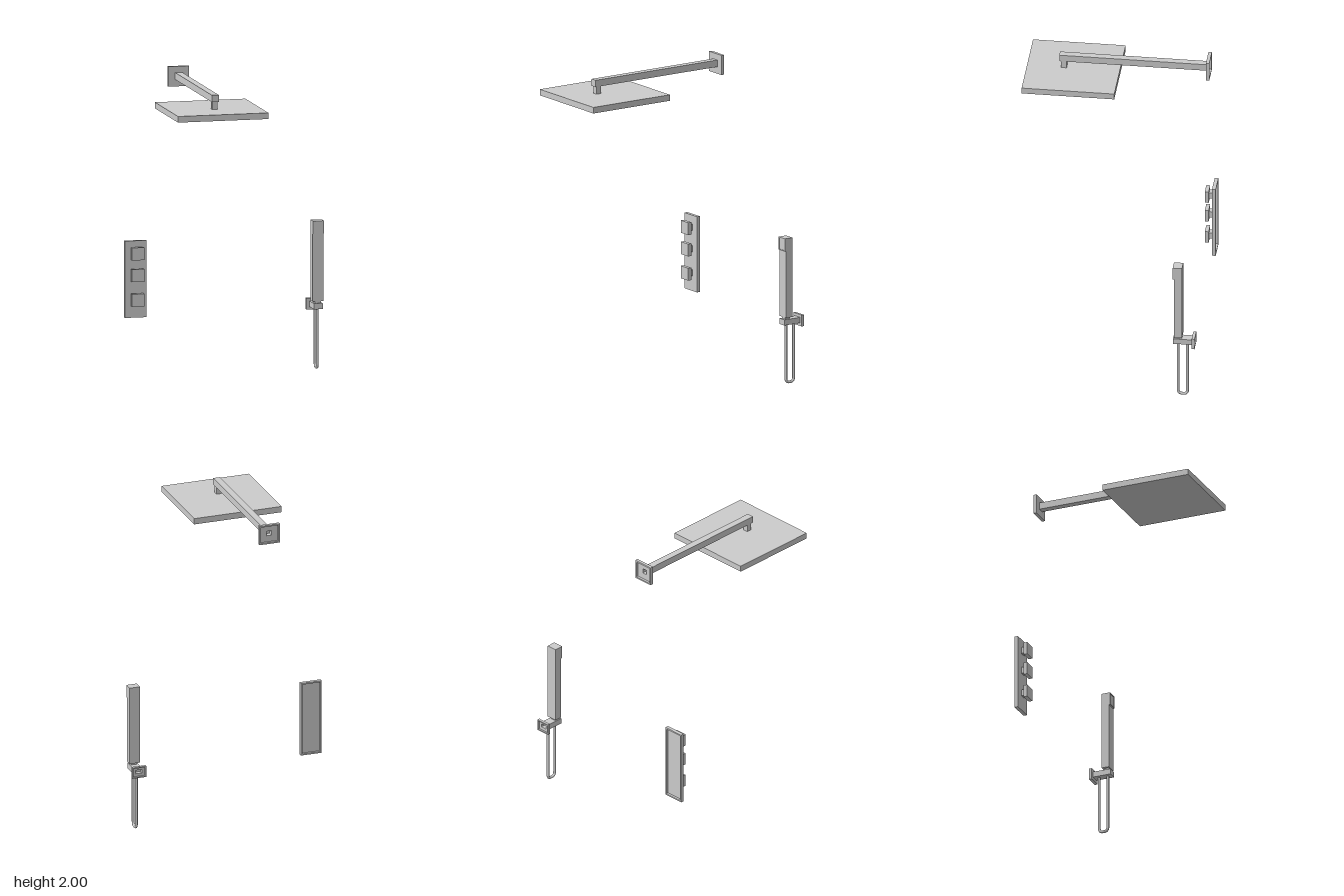
import * as THREE from 'three';

const mat = new THREE.MeshStandardMaterial({ color: 0xcccccc, flatShading: true });
const smooth = new THREE.MeshStandardMaterial({ color: 0xcccccc });

export function createModel() {
  const root = new THREE.Group();

  function add(parent, name, geometry, material = mat) {
    const mesh = new THREE.Mesh(geometry, material);
    mesh.name = name;
    parent.add(mesh);
    return mesh;
  }

  function group(name) {
    const g = new THREE.Group();
    g.name = name;
    root.add(g);
    return g;
  }

  // Box given by its limits on each axis
  function box(parent, name, [x0, x1], [y0, y1], [z0, z1]) {
    const mesh = add(parent, name, new THREE.BoxGeometry(x1 - x0, y1 - y0, z1 - z0));
    mesh.position.set((x0 + x1) / 2, (y0 + y1) / 2, (z0 + z1) / 2);
    return mesh;
  }

  // Rectangular frame: a box with a rectangular opening along z
  function frame(parent, name, [x0, x1], [y0, y1], [z0, z1], [hx0, hx1], [hy0, hy1]) {
    const corners = (a, b, c, d) => [[a, c], [b, c], [b, d], [a, d]].map(p => new THREE.Vector2(...p));
    const shape = new THREE.Shape(corners(x0, x1, y0, y1));
    shape.holes.push(new THREE.Path(corners(hx0, hx1, hy0, hy1).reverse()));
    const geo = new THREE.ExtrudeGeometry(shape, { depth: z1 - z0, bevelEnabled: false });
    return add(parent, name, geo).position.z = z0;
  }

  const inset = ([a, b], t) => [a + t, b - t];

  // Overhead shower: square head on a long wall arm
  const shower = group('overheadShower');
  box(shower, 'showerHead', [-0.6, 0], [1.825, 1.865], [0, 0.6]);
  box(shower, 'headConnector', [-0.317, -0.281], [1.865, 1.916], [0.343, 0.378]);
  const armX = [-0.322, -0.276], armY = [1.915, 1.96];
  box(shower, 'showerArm', armX, armY, [-0.535, 0.39]);
  frame(shower, 'armSocket', armX, armY, [-0.565, -0.535], inset(armX, 0.007), inset(armY, 0.007));
  const plateX = [-0.368, -0.23], plateY = [1.87, 2];
  frame(shower, 'armWallPlate', plateX, plateY, [-0.572, -0.565], inset(armX, 0.007), inset(armY, 0.007));
  frame(shower, 'armWallPlateRim', plateX, plateY, [-0.587, -0.572], inset(plateX, 0.01), inset(plateY, 0.01));

  // Control panel: hollow-backed plate with three square knobs
  const panel = group('controlPanel');
  const panelX = [-0.653, -0.51], panelY = [0.375, 0.875];
  box(panel, 'panelFace', panelX, panelY, [-0.579, -0.57]);
  frame(panel, 'panelRim', panelX, panelY, [-0.594, -0.579], inset(panelX, 0.01), inset(panelY, 0.01));
  for (const y of [0.796, 0.655, 0.495]) {
    box(panel, 'knobStem', [-0.6, -0.558], [y - 0.021, y + 0.021], [-0.57, -0.545]);
    box(panel, 'knob', [-0.62, -0.538], [y - 0.041, y + 0.041], [-0.545, -0.52]);
  }

  // Wall bracket with hollow back
  const bracket = group('handShowerBracket');
  const baseX = [0.553, 0.648], baseY = [0.38, 0.455];
  const holdX = [0.572, 0.63], holdY = [0.4, 0.437];
  frame(bracket, 'bracketPlate', baseX, baseY, [-0.588, -0.581], inset(holdX, 0.007), inset(holdY, 0.007));
  frame(bracket, 'bracketPlateRim', baseX, baseY, [-0.6, -0.588], inset(baseX, 0.008), inset(baseY, 0.008));
  frame(bracket, 'bracketSocket', holdX, holdY, [-0.581, -0.56], inset(holdX, 0.007), inset(holdY, 0.007));
  box(bracket, 'bracketArm', holdX, holdY, [-0.56, -0.458]);

  // Hand shower: slim bar with a raised spray face at its top
  const hand = group('handShower');
  const barX = [0.565, 0.637], sprayY = [0.89, 0.975];
  box(hand, 'handle', barX, [0.45, 0.975], [-0.517, -0.466]);
  box(hand, 'handleNeck', [0.582, 0.62], [0.437, 0.45], [-0.506, -0.471]);
  frame(hand, 'sprayRim', barX, sprayY, [-0.466, -0.457], inset(barX, 0.006), inset(sprayY, 0.006));
  box(hand, 'sprayFace', inset(barX, 0.006), inset(sprayY, 0.006), [-0.466, -0.461]);

  // Hose hanging in a narrow loop
  const hose = new THREE.CurvePath();
  const v = (y, z) => new THREE.Vector3(0.602, y, z);
  const zf = -0.489, zb = -0.549, low = 0.014, bend = 0.026;
  hose.add(new THREE.LineCurve3(v(0.405, zf), v(low + bend, zf)));
  hose.add(new THREE.QuadraticBezierCurve3(v(low + bend, zf), v(low, zf), v(low, zf - bend)));
  hose.add(new THREE.LineCurve3(v(low, zf - bend), v(low, zb + bend)));
  hose.add(new THREE.QuadraticBezierCurve3(v(low, zb + bend), v(low, zb), v(low + bend, zb)));
  hose.add(new THREE.LineCurve3(v(low + bend, zb), v(0.405, zb)));
  add(root, 'hose', new THREE.TubeGeometry(hose, 160, 0.009, 12), smooth);

  return root;
}
